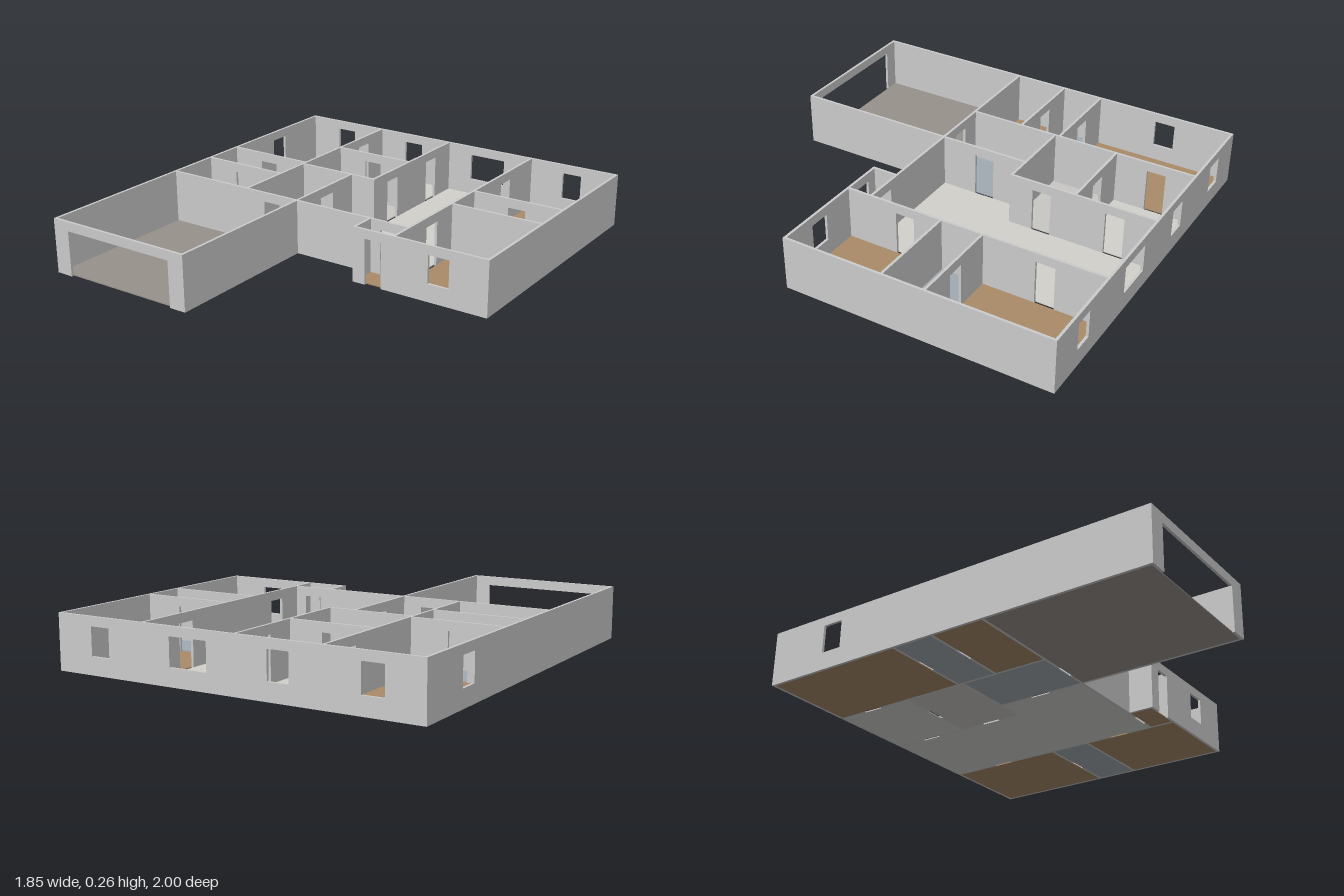
import * as THREE from 'three';

const H = 0.265;          // wall height
const HEAD = 0.22;        // top of doors and windows
const SILL = 0.085;       // bottom of windows
const T = 0.013;          // wall thickness

const grey = new THREE.MeshStandardMaterial({ color: 0xcccccc });
const floorMaterials = {
  wood: new THREE.MeshStandardMaterial({ color: 0xa98b69 }),
  tile: new THREE.MeshStandardMaterial({ color: 0xa1aab2 }),
  stone: new THREE.MeshStandardMaterial({ color: 0xd2d1cc }),
  kitchen: new THREE.MeshStandardMaterial({ color: 0xc8c7c3 }),
  concrete: new THREE.MeshStandardMaterial({ color: 0x98918c }),
};

// Wall elevation from a to b: doors notch the foot, windows are holes
function wallGeometry(a, b, doors, windows) {
  const s = new THREE.Shape();
  s.moveTo(a, 0);
  for (const [d0, d1] of doors) {
    s.lineTo(d0, 0);
    s.lineTo(d0, HEAD);
    s.lineTo(d1, HEAD);
    s.lineTo(d1, 0);
  }
  s.lineTo(b, 0);
  s.lineTo(b, H);
  s.lineTo(a, H);
  s.closePath();
  for (const [w0, w1] of windows) {
    const hole = new THREE.Path();
    hole.moveTo(w0, SILL);
    hole.lineTo(w0, HEAD);
    hole.lineTo(w1, HEAD);
    hole.lineTo(w1, SILL);
    hole.closePath();
    s.holes.push(hole);
  }
  const g = new THREE.ExtrudeGeometry(s, { depth: T, bevelEnabled: false });
  return g.translate(0, 0, -T / 2);
}

// Walls running along x, at a given z
const wallsX = [
  { name: 'backWall', at: -0.9935, from: -0.925, to: 0.925, windows: [[-0.745, -0.64], [-0.305, -0.2], [0.105, 0.3], [0.635, 0.735]] },
  { name: 'garageFrontWall', at: 0.9935, from: -0.925, to: -0.16, doors: [[-0.84, -0.245]] },
  { name: 'bedroomFrontWall', at: 0.3185, from: 0.24, to: 0.925, doors: [[0.305, 0.39]], windows: [[0.63, 0.735]] },
  { name: 'middleFrontWall', at: 0.192, from: -0.912, to: 0.446, doors: [[-0.355, -0.265], [0.305, 0.39]] },
  { name: 'westBathBackWall', at: -0.285, from: -0.912, to: -0.469, doors: [[-0.745, -0.65]] },
  { name: 'westBathFrontWall', at: -0.075, from: -0.912, to: -0.469, doors: [[-0.745, -0.65]] },
  { name: 'pantryWall', at: -0.59, from: -0.457, to: -0.041, doors: [[-0.3, -0.205]] },
  { name: 'laundryBackWall', at: -0.2615, from: -0.457, to: -0.028 },
  { name: 'eastBathBackWall', at: -0.391, from: 0.459, to: 0.912, doors: [[0.64, 0.73]] },
  { name: 'eastBathFrontWall', at: -0.18, from: 0.459, to: 0.912 },
];

// Walls running along z, at a given x
const wallsZ = [
  { name: 'rightOuterWall', at: -0.9185, from: -0.987, to: 0.987, windows: [[-0.7, -0.595]] },
  { name: 'leftOuterWall', at: 0.9185, from: -0.987, to: 0.312 },
  { name: 'garageSideWall', at: -0.1665, from: 0.1985, to: 0.987 },
  { name: 'entrySideWall', at: 0.2465, from: 0.1985, to: 0.312 },
  { name: 'westRoomsWall', at: -0.463, from: -0.987, to: 0.1855, doors: [[-0.85, -0.755]] },
  { name: 'kitchenWall', at: -0.0345, from: -0.987, to: -0.268, doors: [[-0.84, -0.745], [-0.47, -0.375]] },
  { name: 'laundrySideWall', at: -0.1665, from: -0.255, to: 0.1855, doors: [[-0.09, 0.01]] },
  { name: 'eastRoomsWall', at: 0.4525, from: -0.987, to: 0.312, doors: [[-0.75, -0.655], [-0.04, 0.055]] },
];

// Floors: name, finish, outline corners as x, z
const rect = (x0, x1, z0, z1) => [[x0, z0], [x1, z0], [x1, z1], [x0, z1]];
const floors = [
  ['northWestBedroomFloor', 'wood', rect(-0.912, -0.469, -0.987, -0.2915)],
  ['westBathFloor', 'tile', rect(-0.912, -0.469, -0.2785, -0.0815)],
  ['studyFloor', 'wood', rect(-0.912, -0.469, -0.0685, 0.1855)],
  ['garageFloor', 'concrete', rect(-0.912, -0.173, 0.1985, 0.987)],
  ['kitchenFloor', 'stone', rect(-0.457, -0.041, -0.987, -0.5965)],
  ['pantryFloor', 'kitchen', rect(-0.457, -0.041, -0.5835, -0.268)],
  ['laundryFloor', 'tile', rect(-0.457, -0.173, -0.255, 0.1855)],
  ['livingRoomFloor', 'stone', [[-0.028, -0.987], [0.446, -0.987], [0.446, 0.1855],
    [-0.16, 0.1855], [-0.16, -0.255], [-0.028, -0.255]]],
  ['northEastBedroomFloor', 'wood', rect(0.459, 0.912, -0.987, -0.3975)],
  ['eastBathFloor', 'tile', rect(0.459, 0.912, -0.3845, -0.1865)],
  ['southEastBedroomFloor', 'wood', rect(0.459, 0.912, -0.1735, 0.312)],
  ['entryFloor', 'wood', rect(0.253, 0.446, 0.1985, 0.312)],
];

export function createModel() {
  const house = new THREE.Group();
  house.name = 'floorPlanHouse';

  const addWall = (w, alongZ) => {
    const g = wallGeometry(w.from, w.to, w.doors ?? [], w.windows ?? []);
    if (alongZ) g.rotateY(-Math.PI / 2).translate(w.at, 0, 0);
    else g.translate(0, 0, w.at);
    const mesh = new THREE.Mesh(g, grey);
    mesh.name = w.name;
    house.add(mesh);
  };
  wallsX.forEach((w) => addWall(w, false));
  wallsZ.forEach((w) => addWall(w, true));

  // Thin slabs laid flat inside each room
  for (const [name, finish, corners] of floors) {
    const shape = new THREE.Shape(corners.map(([x, z]) => new THREE.Vector2(x, -z)));
    const g = new THREE.ExtrudeGeometry(shape, { depth: 0.005, bevelEnabled: false });
    g.rotateX(-Math.PI / 2);
    const mesh = new THREE.Mesh(g, floorMaterials[finish]);
    mesh.name = name;
    house.add(mesh);
  }
  return house;
}
